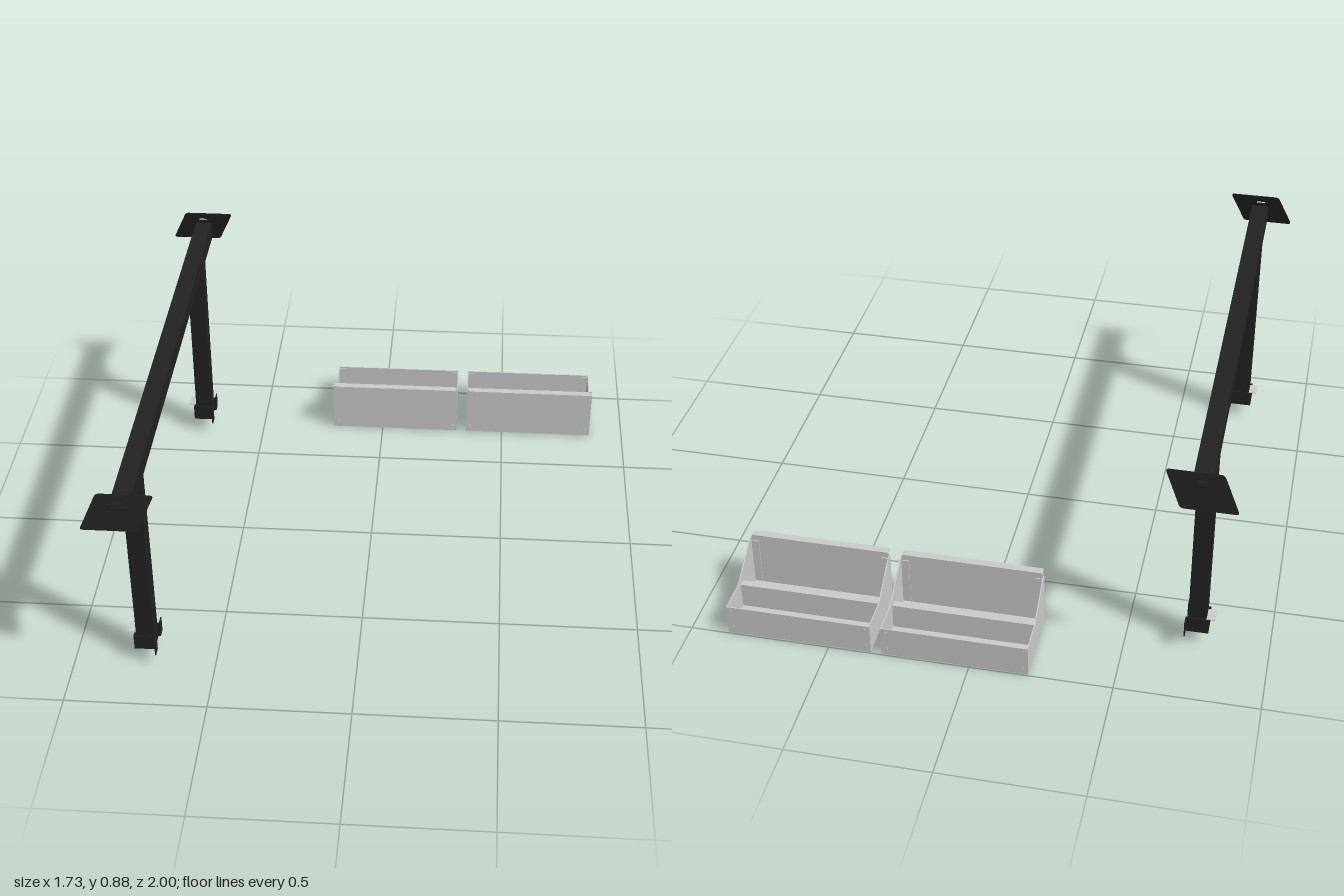
import * as THREE from 'three';

const dark = new THREE.MeshStandardMaterial({ color: 0x222222 });
const grey = new THREE.MeshStandardMaterial({ color: 0xcccccc });
const T = 0.004; // sheet thickness

function add(parent, name, geometry, material) {
  const mesh = new THREE.Mesh(geometry, material);
  mesh.name = name;
  parent.add(mesh);
  return mesh;
}

// Box given by its minimum and maximum on each axis
function box(parent, name, material, [x0, x1], [y0, y1], [z0, z1]) {
  const mesh = add(parent, name, new THREE.BoxGeometry(x1 - x0, y1 - y0, z1 - z0), material);
  mesh.position.set((x0 + x1) / 2, (y0 + y1) / 2, (z0 + z1) / 2);
  return mesh;
}

function polygon(points) {
  return new THREE.Shape(points.map(([x, y]) => new THREE.Vector2(x, y)));
}

// Polygon with each corner softened by a small curve
function roundedPolygon(points, r) {
  const pts = points.map(([x, y]) => new THREE.Vector2(x, y));
  const shape = new THREE.Shape();
  pts.forEach((p, i) => {
    const toward = (q) => p.clone().add(q.clone().sub(p).setLength(r));
    const a = toward(pts[(i + pts.length - 1) % pts.length]);
    const b = toward(pts[(i + 1) % pts.length]);
    if (i === 0) shape.moveTo(a.x, a.y);
    else shape.lineTo(a.x, a.y);
    shape.quadraticCurveTo(p.x, p.y, b.x, b.y);
  });
  shape.closePath();
  return shape;
}

// Extrudes a (z, y) outline along x, centred on x
function sideExtrude(shape, width) {
  const g = new THREE.ExtrudeGeometry(shape, { depth: width, bevelEnabled: false, curveSegments: 4 });
  return g.translate(0, 0, -width / 2).rotateY(-Math.PI / 2).scale(1, 1, 1);
}

// Slanted parallelogram plate with a slot, leaning inward at the top
function endPlate(parent, z, lean) {
  const shape = roundedPolygon([[-0.127, -0.064], [0.061, -0.064], [0.117, 0.064], [-0.07, 0.064]], 0.012);
  shape.holes.push(polygon([[-0.018, 0.03], [-0.018, 0.038], [0.014, 0.038], [0.014, 0.03]]));
  const g = new THREE.ExtrudeGeometry(shape, { depth: T, bevelEnabled: false, curveSegments: 5 });
  const mesh = add(parent, 'endPlate', g.translate(0, 0, -T / 2), dark);
  mesh.position.set(0, 0.818, z);
  mesh.rotation.x = lean;
}

// Post with its gusset (on the outward side) and hat-shaped foot bracket
function leg(parent, z, outward) {
  const g = new THREE.Group();
  g.name = 'leg';
  g.position.z = z;
  parent.add(g);
  box(g, 'post', dark, [-0.032, 0.032], [0.055, 0.772], [-0.033, 0.033]);

  const s = outward;
  const tri = [[s * 0.033, 0.675], [s * 0.125, 0.772], [s * 0.033, 0.772]];
  add(g, 'gusset', sideExtrude(polygon(tri), 0.036), dark);

  const y = [0.055, 0.115];
  box(g, 'footBase', dark, [-0.041, -0.037], y, [-0.037, 0.037]);
  for (const side of [-1, 1]) {
    const span = (a, b) => [Math.min(side * a, side * b), Math.max(side * a, side * b)];
    box(g, 'footCheek', dark, [-0.041, 0.041], y, span(0.033, 0.037));
    box(g, 'footFlange', dark, [0.037, 0.041], y, span(0.033, 0.068));
  }
  box(g, 'footTab', grey, [-0.062, -0.03], [0.115, 0.118], [-0.035, 0.02]);
}

function frame() {
  const g = new THREE.Group();
  g.name = 'frame';
  g.position.x = -0.745;
  box(g, 'beam', dark, [-0.032, 0.032], [0.771, 0.835], [-0.933, 0.983]);
  endPlate(g, 0.983, -0.22);
  endPlate(g, -0.934, 0.22);
  leg(g, 0.743, 1);
  leg(g, -0.688, -1);
  return g;
}

// Open sheet-metal tray, tall at the front and low at the back
function tray(x) {
  const g = new THREE.Group();
  g.name = 'tray';
  g.position.x = x;
  const w = 0.258, front = -0.712, back = -0.998, tall = 0.214, low = 0.117;
  const inner = [-w + T, w - T];
  box(g, 'floor', grey, inner, [0.004, 0.008], [back, front]);
  box(g, 'frontWall', grey, inner, [0.004, tall], [front - T, front]);
  box(g, 'backWall', grey, inner, [0.004, low], [back, back + T]);

  // Lip folded forward from the top of the front wall
  const lip = roundedPolygon([[-w + 0.006, 0], [w - 0.006, 0], [w - 0.006, 0.028], [-w + 0.006, 0.028]], 0.01);
  const lipMesh = add(g, 'frontLip', new THREE.ExtrudeGeometry(lip, { depth: T, bevelEnabled: false }), grey);
  lipMesh.rotation.x = Math.PI / 2;
  lipMesh.position.set(0, tall + T, front - T);

  // Divider with a folded top
  box(g, 'divider', grey, inner, [0.008, 0.102], [-0.857, -0.853]);
  box(g, 'dividerFold', grey, inner, [0.098, 0.102], [-0.857, -0.831]);

  const outline = [[back, 0.004], [front, 0.004], [front, 0.2], [-0.718, 0.21],
    [-0.733, 0.208], [-0.865, 0.12], [-0.88, low], [back, low]];
  const sideGeometry = sideExtrude(polygon(outline), T);
  const rivet = new THREE.CylinderGeometry(0.006, 0.006, 0.004, 12);
  for (const s of [-1, 1]) {
    add(g, 'sideWall', sideGeometry, grey).position.x = s * (w - T / 2);
    const tab = [s * (w - 0.017) - 0.014, s * (w - 0.017) + 0.014];
    box(g, 'frontCornerTab', grey, tab, [0.012, 0.195], [front - 2 * T, front - T]);
    box(g, 'backCornerTab', grey, tab, [0.012, 0.11], [back + T, back + 2 * T]);
    // Rivets on the front, back and floor corners
    const rx = s * (w - 0.018);
    const spots = [[0.03, front + 0.001, 1], [0.194, front + 0.001, 1], [0.03, back, 1], [0.1, back, 1],
      [0.002, front - 0.025, 0], [0.002, back + 0.03, 0]];
    for (const [y, z, upright] of spots) {
      const m = add(g, 'rivet', rivet, grey);
      m.position.set(rx, y, z);
      m.rotation.x = upright * Math.PI / 2;
    }
  }
  return g;
}

export function createModel() {
  const model = new THREE.Group();
  model.name = 'railAndTrays';
  model.add(frame(), tray(0.052), tray(0.606));
  return model;
}
